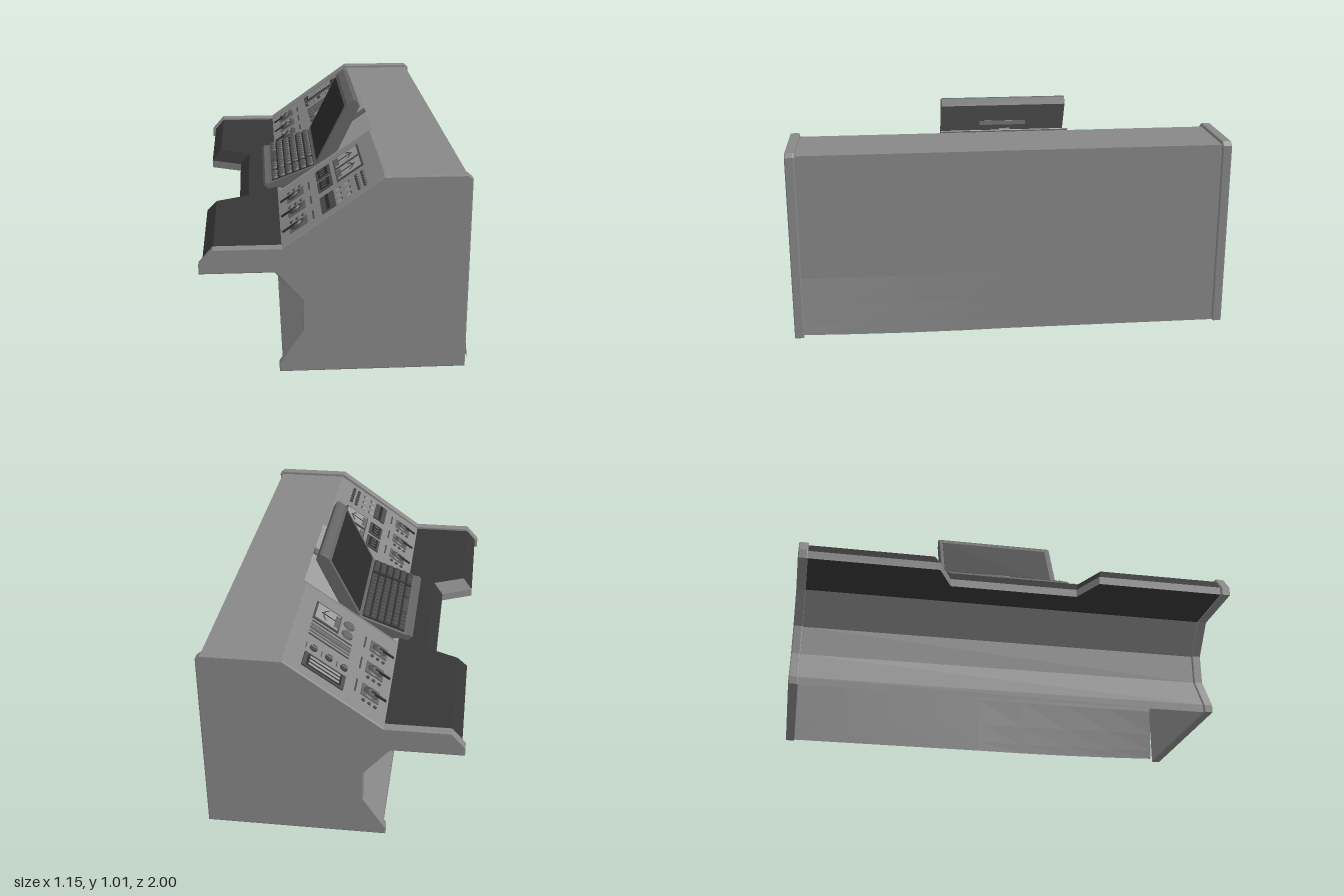
import * as THREE from 'three';

const mat = (name, color, side = THREE.FrontSide) =>
  Object.assign(new THREE.MeshStandardMaterial({ color, side }), { name });

export function createModel() {
  const root = new THREE.Group();
  root.name = 'controlDesk';
  const D = THREE.DoubleSide;
  const grey = mat('panel grey', 0x888888, D), dark = mat('worktop charcoal', 0x363636, D);
  const casing = mat('computer casing grey', 0x646464), black = mat('screen black', 0x2a2a2a);
  const keyMat = mat('key grey', 0x4c4c4c), light = mat('light grey', 0x9a9a9a);

  const add = (parent, name, geo, m, x = 0, y = 0, z = 0) => {
    const mesh = new THREE.Mesh(geo, m);
    mesh.name = name;
    mesh.position.set(x, y, z);
    parent.add(mesh);
    return mesh;
  };
  // flat-shaded sheet through rows of [x, y, z] points
  const loft = (rows) => {
    const p = [];
    for (let i = 0; i + 1 < rows.length; i++)
      for (let j = 0; j + 1 < rows[i].length; j++) {
        const a = rows[i][j], b = rows[i][j + 1], c = rows[i + 1][j + 1], d = rows[i + 1][j];
        p.push(...a, ...b, ...c, ...a, ...c, ...d);
      }
    const g = new THREE.BufferGeometry();
    g.setAttribute('position', new THREE.Float32BufferAttribute(p, 3));
    g.computeVertexNormals();
    return g;
  };
  const W = 0.957;
  const sheet = (name, profile) =>
    add(root, name, loft(profile.map(([x, y]) => [[x, y, W], [x, y, -W]])), grey);
  const prism = (pts, depth, bevel) => new THREE.ExtrudeGeometry(
    new THREE.Shape(pts.map(([x, y]) => new THREE.Vector2(x, y))),
    { depth: depth - 2 * bevel, bevelEnabled: bevel > 0, bevelSize: bevel, bevelThickness: bevel,
      bevelOffset: -bevel, bevelSegments: 2 }).translate(0, 0, bevel - depth / 2);

  // end panels
  const side = [[-0.575, 0.463], [-0.26, 0.463], [-0.145, 0.33], [-0.145, 0.19], [-0.245, 0.035],
    [-0.245, 0], [0.555, 0], [0.555, 0.857], [0.535, 0.875], [0.19, 0.875], [-0.23, 0.573],
    [-0.515, 0.573], [-0.575, 0.505]];
  for (const s of [1, -1]) add(root, s > 0 ? 'leftEndPanel' : 'rightEndPanel', prism(side, 0.043, 0.005), grey, 0, 0, s * 0.9785);

  // body skin, open underneath
  sheet('kneePanel', [[-0.23, 0.003], [-0.23, 0.04], [-0.132, 0.193], [-0.132, 0.332], [-0.248, 0.47]]);
  sheet('consoleSkin', [[-0.23, 0.56], [0.2, 0.86], [0.54, 0.86]]);

  // back panel, sprung outward at one lower corner
  const backRows = [];
  for (let i = 0; i <= 6; i++) {
    const row = [], y = 0.86 * (i / 6) ** 1.6;
    for (let j = 0; j <= 8; j++) {
      const z = W - 2 * W * j / 8, pull = Math.max(0, z / W) * Math.max(0, 1 - y / 0.3);
      row.push([0.54 + 0.031 * pull, y + 0.022 * pull * Math.max(0, z / W), z]);
    }
    backRows.push(row);
  }
  add(root, 'backPanel', loft(backRows), grey);

  // worktop with knee notch and bevelled front edge
  const front = [[-0.56, -W], [-0.56, -0.37], [-0.41, -0.3], [-0.41, 0.3], [-0.56, 0.37], [-0.56, W]];
  const edge = (dx, y) => front.map(([x, z]) =>
    [x + dx, y, Math.abs(z) < W ? z + Math.sign(z) * dx * 0.45 : z]);
  const line = (x, y) => front.map(([, z]) => [x, y, z]);
  add(root, 'worktop', loft([edge(0, 0.507), edge(0.045, 0.56), line(-0.23, 0.56)]), dark);
  add(root, 'worktopUnderside', loft([line(-0.248, 0.47), edge(0, 0.47)]), dark);
  add(root, 'worktopTrim', loft([edge(0, 0.47), edge(0, 0.507)]), grey);

  // sloping console: local x runs up the slope, local y is its normal
  const ang = Math.atan2(0.3, 0.43), cos = Math.cos(ang);
  const slope = new THREE.Group();
  slope.name = 'consoleControls';
  slope.position.set(-0.23, 0.56, 0);
  slope.rotation.z = ang;
  root.add(slope);
  const U = (x) => (x + 0.23) / cos;
  const plate = (name, m, x0, x1, z0, z1, h, base = 0) => add(slope, name,
    new THREE.BoxGeometry(U(x1) - U(x0), h, z1 - z0), m, (U(x0) + U(x1)) / 2, base + h / 2, (z0 + z1) / 2);
  const knob = (name, m, x, z, r, h, base = 0) => add(slope, name,
    new THREE.CylinderGeometry(r * 0.85, r, h, 16), m, U(x), base + h / 2, z);

  // lever switches with indicator lamps
  for (const z of [-0.81, -0.635, -0.46, 0.485, 0.665, 0.845]) {
    plate('leverBase', casing, -0.19, -0.115, z - 0.042, z + 0.042, 0.005);
    knob('leverCollar', keyMat, -0.153, z, 0.038, 0.005, 0.005);
    knob('leverHub', casing, -0.153, z, 0.02, 0.006, 0.009);
    plate('lever', black, -0.215, -0.15, z - 0.006, z + 0.006, 0.006, 0.01);
    plate('leverScale', keyMat, -0.094, -0.088, z - 0.045, z + 0.045, 0.003);
    for (const x of [-0.18, -0.155, -0.13]) knob('lamp', keyMat, x, z - 0.072, 0.009, 0.006);
  }
  // dial meters
  const meter = (z) => {
    plate('meterFrame', keyMat, 0.025, 0.138, z - 0.07, z + 0.07, 0.006);
    plate('meterFace', light, 0.032, 0.131, z - 0.06, z + 0.06, 0.002, 0.006);
    add(slope, 'meterScale', new THREE.TorusGeometry(0.05, 0.003, 6, 16, 1.9).rotateZ(-0.95)
      .rotateX(-Math.PI / 2), keyMat, U(0.06), 0.008, z);
    plate('meterNeedle', black, 0.045, 0.11, z - 0.002, z + 0.002, 0.002, 0.008);
    plate('meterFoot', casing, 0.03, 0.05, z - 0.045, z + 0.045, 0.004, 0.006);
  };
  [-0.465, 0.45, 0.6].forEach(meter);
  for (const z of [-0.502, -0.425]) knob('roundButton', casing, -0.012, z, 0.03, 0.01);
  // slot recorder
  plate('recorderFrame', keyMat, -0.045, 0.128, -0.91, -0.81, 0.007);
  plate('recorderWindow', black, -0.03, 0.113, -0.898, -0.822, 0.002, 0.007);
  for (const z of [-0.885, -0.86, -0.835]) plate('recorderStrip', light, -0.022, 0.105, z - 0.007, z + 0.007, 0.002, 0.009);
  // rotary knobs
  for (const x of [-0.03, 0.035, 0.1]) {
    knob('rotaryKnob', keyMat, x, -0.755, 0.019, 0.012);
    plate('rotaryMark', light, x - 0.012, x + 0.012, -0.757, -0.753, 0.001, 0.012);
    plate('rotaryTick', keyMat, x + 0.028, x + 0.031, -0.775, -0.735, 0.002);
  }
  // slider slots
  for (let i = 0; i < 5; i++) {
    const z = -0.665 + i * 0.027;
    plate('sliderSlot', i % 2 ? casing : keyMat, -0.04, 0.135, z - 0.004, z + 0.004, 0.003);
  }
  plate('sliderBar', casing, -0.04, 0.135, -0.62, -0.6, 0.004);
  // small displays
  for (const z of [0.45, 0.6]) {
    plate('displayFrame', keyMat, -0.055, 0.007, z - 0.06, z + 0.06, 0.007);
    plate('displayGlass', black, -0.045, -0.003, z - 0.048, z + 0.048, 0.002, 0.007);
    for (const d of [-0.03, 0, 0.03]) plate('displayMark', casing, -0.035, -0.015, z + d - 0.005, z + d + 0.005, 0.001, 0.009);
  }
  // switch strip, toggles and push buttons
  plate('switchStrip', keyMat, -0.055, 0.002, 0.735, 0.91, 0.007);
  plate('switchSlot', black, -0.033, -0.02, 0.74, 0.905, 0.002, 0.007);
  for (const z of [0.755, 0.822, 0.89]) for (const x of [0.022, 0.06]) {
    plate('toggleBase', light, x - 0.011, x + 0.011, z - 0.012, z + 0.012, 0.004);
    plate('toggleEdge', keyMat, x + 0.006, x + 0.011, z - 0.012, z + 0.012, 0.002, 0.004);
  }
  for (let i = 0; i < 6; i++) for (const x of [0.1, 0.125])
    knob('pushButton', keyMat, x, 0.745 + i * 0.031, 0.01, 0.008);

  // computer bay and support strut
  plate('computerBay', light, -0.22, 0.215, -0.3, 0.3, 0.004);
  plate('screenStrut', casing, 0.04, 0.215, -0.025, 0.025, 0.008, 0.004);

  // computer base
  const computer = new THREE.Group();
  computer.name = 'computer';
  root.add(computer);
  add(computer, 'keyboardBase', prism([[-0.297, 0.597], [-0.275, 0.577], [-0.225, 0.588], [-0.2, 0.58],
    [0.02, 0.72], [-0.03, 0.712], [-0.06, 0.69], [-0.265, 0.612], [-0.288, 0.61]], 0.59, 0.004), casing);
  const deck = new THREE.Group();
  deck.name = 'keys';
  deck.position.set(-0.265, 0.612, 0);
  deck.rotation.z = Math.atan2(0.078, 0.205);
  computer.add(deck);
  const keyGeo = (len) => {
    const g = new THREE.CylinderGeometry(0.55, 0.7071, 0.012, 4, 1).rotateY(Math.PI / 4);
    return g.scale(0.03, 1, len);
  };
  plate('deckShadow', black, 0, 0.01, 0, 0.01, 0.001); // seam under the hinge
  add(deck, 'keyWell', new THREE.BoxGeometry(0.212, 0.003, 0.565), black, 0.117, 0.001, 0);
  for (let r = 0; r < 6; r++) {
    const u = 0.026 + r * 0.036, off = [0, 0.012, 0.006, 0.003, 0, 0][r];
    for (let c = 0; c < 12; c++) {
      if (r === 0 && c > 3 && c < 9) continue;
      add(deck, 'key', keyGeo(0.028), keyMat, u, 0.007, -0.262 + off + c * 0.0345);
    }
    if (r === 0) add(deck, 'spaceBar', keyGeo(0.165), keyMat, u, 0.007, -0.055);
    for (let c = 0; c < 4; c++) add(deck, 'padKey', keyGeo(0.023), keyMat, u, 0.007, 0.183 + c * 0.027);
  }

  // tilted screen
  add(computer, 'screenHousing', prism([[-0.05, 0.7], [0.03, 0.715], [0.145, 0.955], [0.156, 0.978],
    [0.137, 1.01], [0.125, 1.011], [0.095, 0.99]], 0.59, 0.004), casing);
  const glass = add(computer, 'screenGlass', new THREE.BoxGeometry(0.29, 0.004, 0.545), black, 0.021, 0.842, -0.005);
  glass.rotation.z = Math.atan2(0.29, 0.145);
  const bar = add(computer, 'rearHandle', new THREE.BoxGeometry(0.025, 0.008, 0.22), light, 0.108, 0.884, 0);
  bar.rotation.z = Math.atan2(0.24, 0.115);
  const prop = add(computer, 'screenProp', new THREE.CylinderGeometry(0.014, 0.014, 0.12, 12), light, 0.09, 0.815, 0);
  prop.rotation.z = 0.9;
  return root;
}
